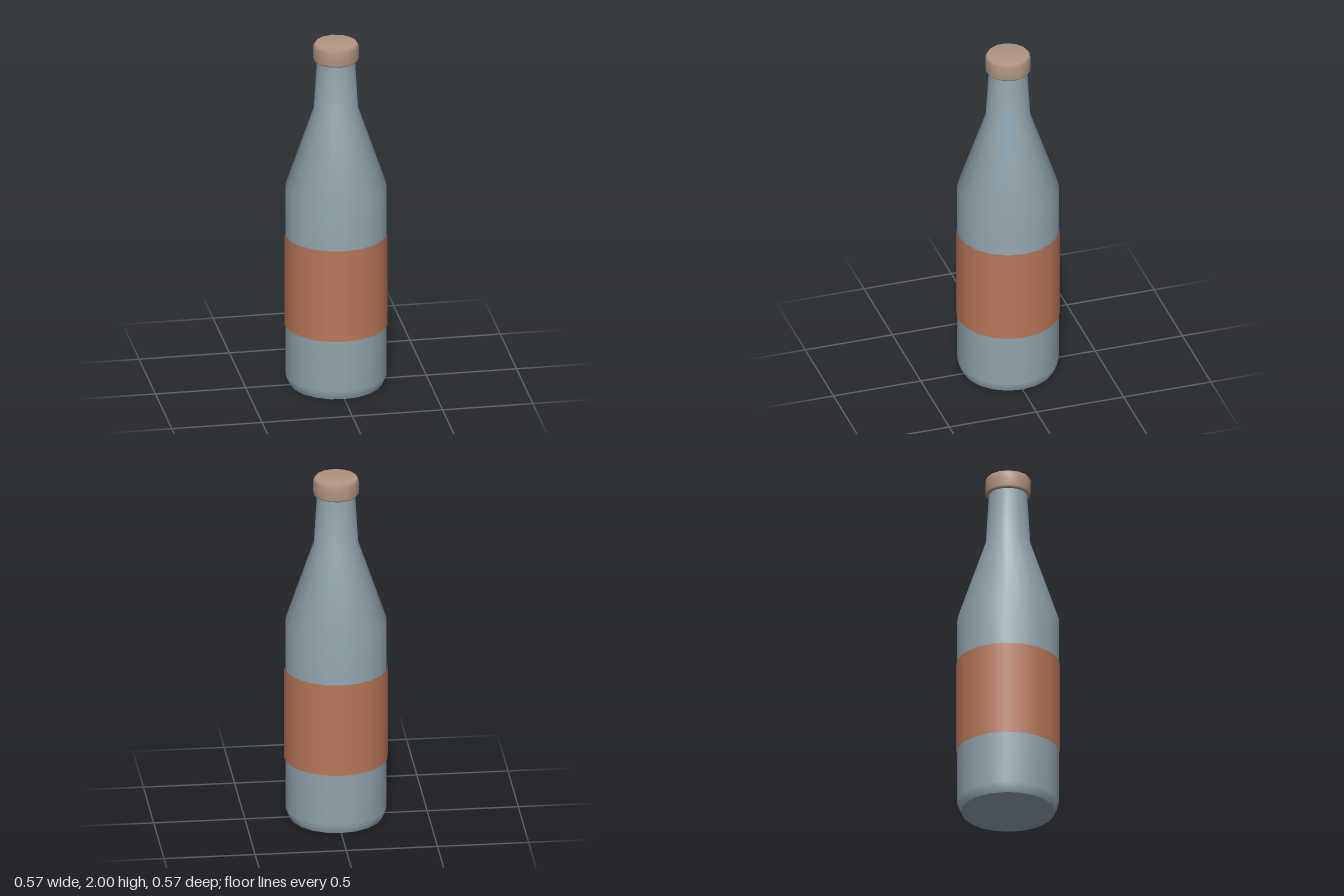
import * as THREE from 'three';

const material = (name, color) => {
  const m = new THREE.MeshStandardMaterial({ color });
  m.name = name;
  return m;
};

export function createModel() {
  const bottle = new THREE.Group();
  bottle.name = 'bottle';
  const glass = material('blue grey glass', 0x8fa3ad);
  const paper = material('rust label', 0xb87759);
  const tan = material('tan cap', 0xb29582);

  const add = (name, geometry, mat) => {
    const mesh = new THREE.Mesh(geometry, mat);
    mesh.name = name;
    bottle.add(mesh);
    return mesh;
  };
  // Turned shape from [radius, height] pairs, listed bottom to top
  const turned = (profile, sides) =>
    new THREE.LatheGeometry(profile.map(([r, y]) => new THREE.Vector2(r, y)), sides);

  // Chamfered foot, straight body, sloping shoulder and tapered neck
  add('body', turned([
    [0.256, 0], [0.278, 0.055], [0.278, 1.155], [0.122, 1.615], [0.103, 1.93],
  ], 20), glass);

  // Flat underside, kept apart for a crisp edge
  const base = new THREE.CircleGeometry(0.256, 20);
  base.rotateX(Math.PI / 2);
  add('base', base, glass);

  // Thin open label sleeve
  const label = new THREE.CylinderGeometry(0.284, 0.284, 0.535, 20, 1, true);
  add('label', label, paper).position.y = 0.6175;

  // Cap with softened rims
  add('cap', turned([
    [0, 1.9], [0.117, 1.9], [0.125, 1.91], [0.125, 1.983], [0.115, 2], [0, 2],
  ], 14), tan);

  return bottle;
}
